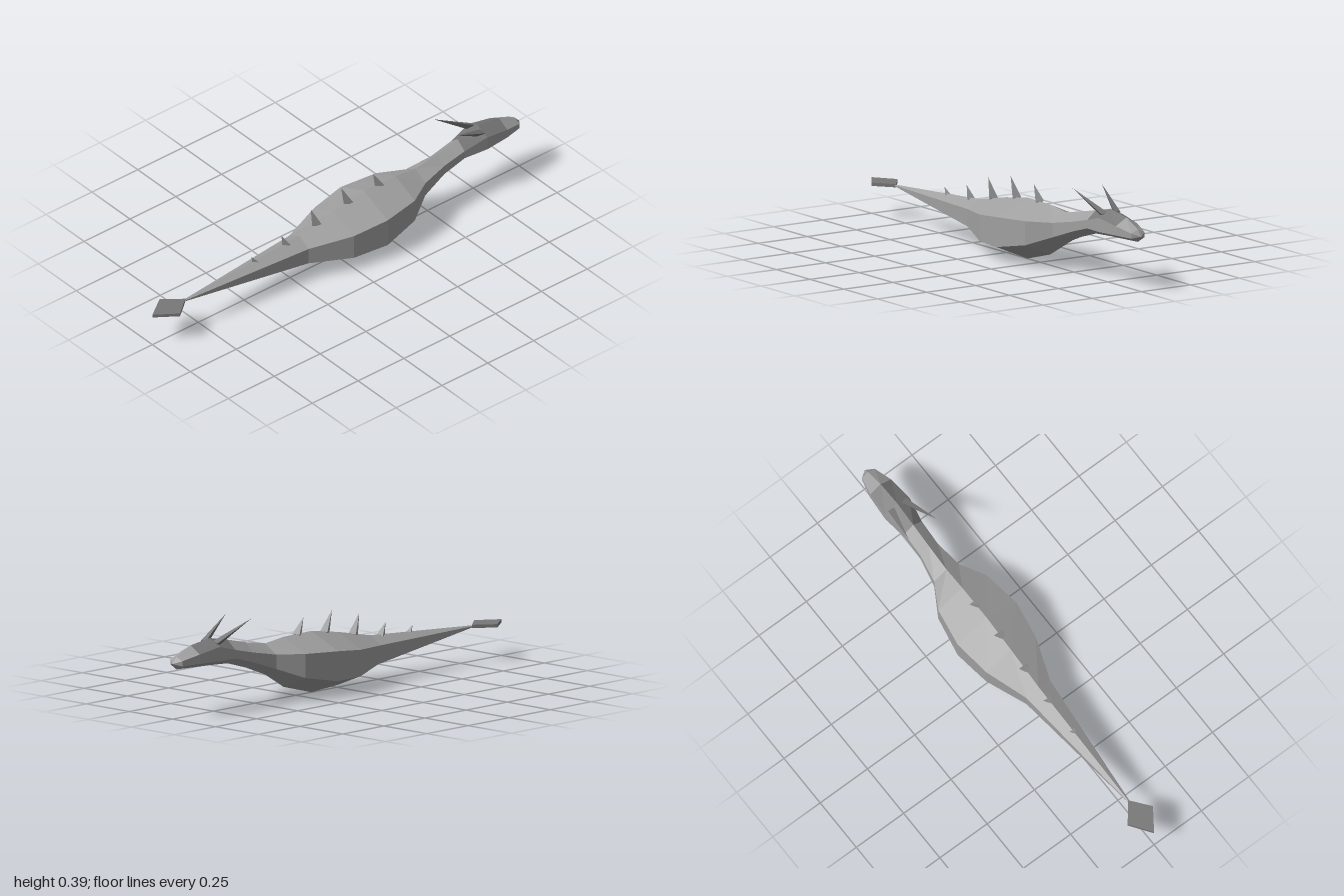
import * as THREE from 'three';

const bodyGrey = new THREE.MeshStandardMaterial({ color: 0xa0a0a0 });
bodyGrey.name = 'body grey';
const darkGrey = new THREE.MeshStandardMaterial({ color: 0x787878 });
darkGrey.name = 'dark grey';

// Body sections from tail to nose: z, half width, ridge, upper side, lower side, keel
const sections = [
  [0.83, 0, 0.148, 0.148, 0.148, 0.148],
  [0.82, 0.005, 0.153, 0.15, 0.146, 0.143],
  [0.2, 0.063, 0.195, 0.16, 0.086, 0.057],
  [0.01, 0.131, 0.235, 0.176, 0.064, 0.01],
  [-0.155, 0.155, 0.262, 0.195, 0.067, 0],
  [-0.325, 0.128, 0.26, 0.203, 0.1, 0.046],
  [-0.435, 0.065, 0.247, 0.207, 0.145, 0.113],
  [-0.555, 0.045, 0.268, 0.23, 0.188, 0.16],
  [-0.665, 0.046, 0.294, 0.256, 0.22, 0.193],
  [-0.775, 0.063, 0.316, 0.286, 0.225, 0.2],
  [-0.89, 0.055, 0.3, 0.268, 0.228, 0.205],
  [-0.975, 0.034, 0.262, 0.248, 0.226, 0.209],
  [-1, 0, 0.235, 0.235, 0.235, 0.235],
];

const ring = ([z, w, top, up, low, bottom]) => [
  [0, top, z], [w, up, z], [w, low, z], [0, bottom, z], [-w, low, z], [-w, up, z],
];

function flatGeometry(points) {
  const g = new THREE.BufferGeometry();
  g.setAttribute('position', new THREE.Float32BufferAttribute(points.flat(), 3));
  g.computeVertexNormals();
  return g;
}

// Skin the hexagonal sections; the crown is the roof of the back of the head
function buildBody() {
  const skin = [], crown = [];
  for (let i = 0; i < sections.length - 1; i++) {
    const p = ring(sections[i]), q = ring(sections[i + 1]);
    for (let j = 0; j < 6; j++) {
      const k = (j + 1) % 6;
      const isCrown = (i === 8 || i === 9) && (j === 0 || j === 5);
      (isCrown ? crown : skin).push(p[j], p[k], q[k], p[j], q[k], q[j]);
    }
  }
  return [flatGeometry(skin), flatGeometry(crown)];
}

// Pointed three-sided spike from a base centre to a tip
function spike(base, tip, radius, material, name) {
  const from = new THREE.Vector3(...base), to = new THREE.Vector3(...tip);
  const dir = to.clone().sub(from);
  const geo = new THREE.ConeGeometry(radius, dir.length(), 3).toNonIndexed();
  geo.computeVertexNormals();
  const mesh = new THREE.Mesh(geo, material);
  mesh.position.copy(from).add(to).multiplyScalar(0.5);
  mesh.quaternion.setFromUnitVectors(new THREE.Vector3(0, 1, 0), dir.normalize());
  mesh.name = name;
  return mesh;
}

export function createModel() {
  const model = new THREE.Group();
  model.name = 'horned serpent';

  const [skinGeo, crownGeo] = buildBody();
  const body = new THREE.Mesh(skinGeo, bodyGrey);
  body.name = 'body';
  const crown = new THREE.Mesh(crownGeo, darkGrey);
  crown.name = 'crown';
  model.add(body, crown);

  // Row of back spikes: base z, base y, tip z, tip y, radius
  const spikes = new THREE.Group();
  spikes.name = 'backSpikes';
  [
    [0.437, 0.165, 0.46, 0.205, 0.018],
    [0.27, 0.18, 0.296, 0.24, 0.022],
    [0.105, 0.212, 0.136, 0.3, 0.024],
    [-0.068, 0.244, -0.03, 0.335, 0.024],
    [-0.238, 0.255, -0.203, 0.327, 0.024],
  ].forEach(([bz, by, tz, ty, r], i) => {
    spikes.add(spike([0, by, bz], [0, ty, tz], r, bodyGrey, `backSpike${i + 1}`));
  });
  model.add(spikes);

  // Swept-back horns
  for (const s of [1, -1]) {
    model.add(spike([s * 0.032, 0.294, -0.77], [s * 0.075, 0.386, -0.597], 0.018,
      darkGrey, s > 0 ? 'leftHorn' : 'rightHorn'));
  }

  // Diamond tail blade
  const diamond = new THREE.Shape();
  diamond.moveTo(0, -0.82).lineTo(-0.067, -0.905).lineTo(0, -1).lineTo(0.067, -0.905).closePath();
  const bladeGeo = new THREE.ExtrudeGeometry(diamond, { depth: 0.014, bevelEnabled: false });
  bladeGeo.rotateX(-Math.PI / 2);
  const blade = new THREE.Mesh(bladeGeo, darkGrey);
  blade.position.y = 0.141;
  blade.name = 'tailBlade';
  model.add(blade);

  return model;
}
